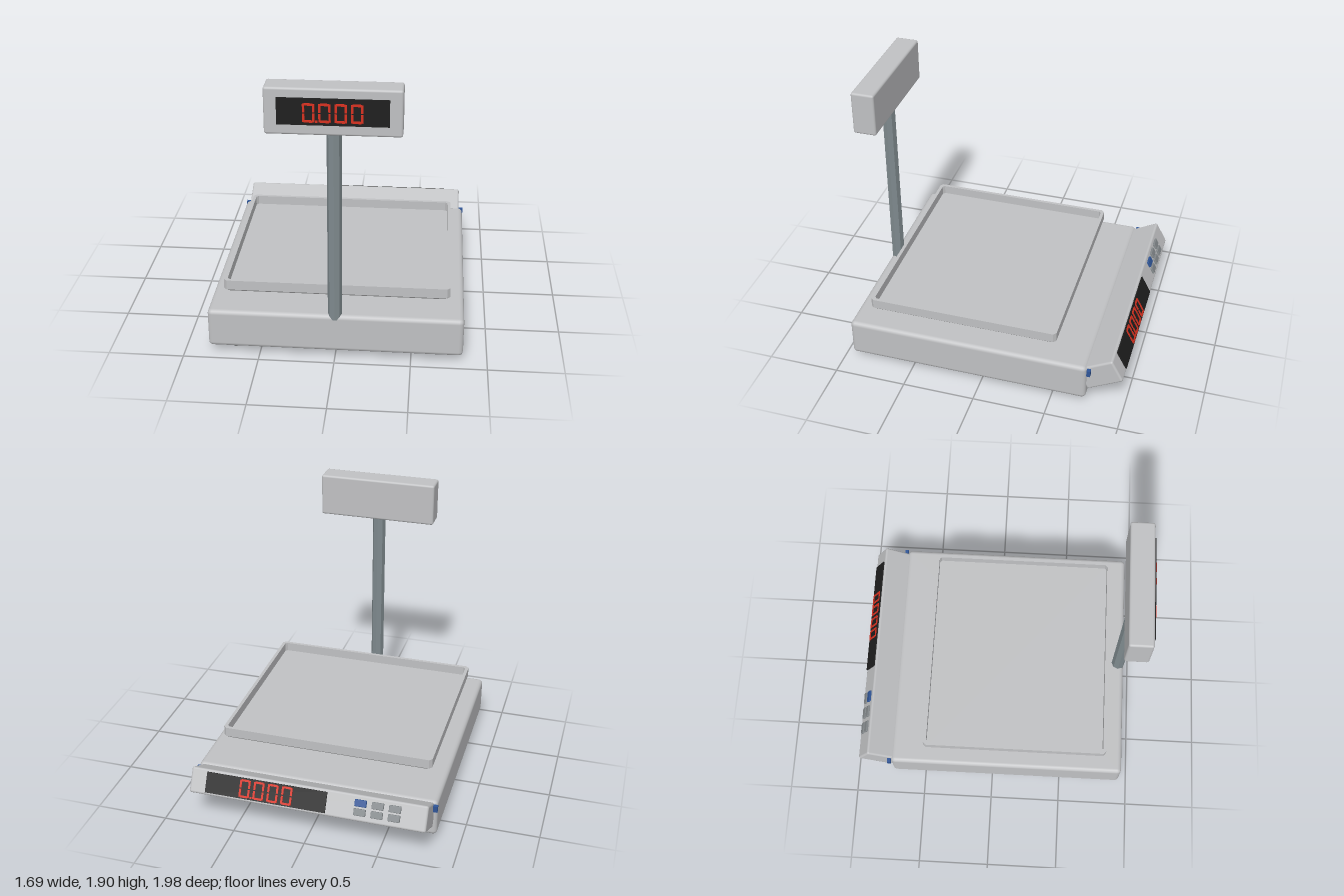
import * as THREE from 'three';
import { RoundedBoxGeometry } from 'three/addons/geometries/RoundedBoxGeometry.js';

const mat = (name, color) => new THREE.MeshStandardMaterial({ name, color });

export function createModel() {
  const housing = mat('light grey housing', 0xc0c1c3);
  const metal = mat('column metal', 0x7f8a8e);
  const black = mat('black', 0x1e1e1e);
  const red = mat('red digits', 0xd8301f);
  const keyGrey = mat('grey keys', 0x84898c);
  const blue = mat('blue', 0x2f5597);

  const model = new THREE.Group();
  model.name = 'countertopScale';

  const add = (parent, name, geometry, material, x, y, z) => {
    const mesh = new THREE.Mesh(geometry, material);
    mesh.name = name;
    mesh.position.set(x, y, z);
    parent.add(mesh);
    return mesh;
  };
  const box = (w, h, d) => new THREE.BoxGeometry(w, h, d);
  const rounded = (w, h, d, r) => new RoundedBoxGeometry(w, h, d, 2, r);
  const prism = (r, h, sides) => {
    const g = new THREE.CylinderGeometry(r, r, h, sides).toNonIndexed();
    g.computeVertexNormals();
    return g;
  };

  // Base housing and feet
  add(model, 'base', rounded(1.68, 0.27, 1.68, 0.03), housing, 0, 0.185, 0.1);
  for (const x of [-0.675, 0.675])
    for (const z of [-0.575, 0.78])
      add(model, 'foot', prism(0.066, 0.06, 12), black, x, 0.03, z);

  // Tray on its round support
  add(model, 'traySupport', prism(0.17, 0.1, 12), metal, 0, 0.36, 0.155);
  const outline = (Type, a, b, c) => new Type([
    [-a + c, -b], [a - c, -b], [a, -b + c], [a, b - c],
    [a - c, b], [-a + c, b], [-a, b - c], [-a, -b + c],
  ].map(([x, y]) => new THREE.Vector2(x, y)));
  const slab = (shape, depth) => {
    const g = new THREE.ExtrudeGeometry(shape, { depth, bevelEnabled: false });
    g.rotateX(-Math.PI / 2);
    return g;
  };
  const rim = outline(THREE.Shape, 0.745, 0.66, 0.02);
  rim.holes.push(outline(THREE.Path, 0.722, 0.637, 0.015));
  add(model, 'trayRim', slab(rim, 0.067), housing, 0, 0.413, 0.155);
  // Floor edge slopes inward underneath
  const floor = slab(outline(THREE.Shape, 0.744, 0.659, 0.02), 0.015);
  const p = floor.attributes.position;
  for (let i = 0; i < p.count; i++)
    if (p.getY(i) < 0.005) p.setXYZ(i, p.getX(i) * 0.984, p.getY(i), p.getZ(i) * 0.982);
  floor.computeVertexNormals();
  add(model, 'trayFloor', floor, housing, 0, 0.4, 0.155);

  // Seven-segment readout "zero point zero zero zero", facing local +z
  const addReadout = (parent, cx, z) => {
    const group = new THREE.Group();
    group.name = 'readout';
    group.position.set(cx, 0, z);
    parent.add(group);
    const w = 0.074, h = 0.122, t = 0.014, d = 0.006;
    for (let i = 0; i < 4; i++) {
      const x = (i - 1.5) * 0.0975;
      for (const s of [-1, 1]) {
        add(group, 'horizontalSegment', box(w - 2 * t + 0.008, t, d), red, x, s * (h - t) / 2, 0);
        for (const v of [-1, 1])
          add(group, 'verticalSegment', box(t, h / 2 - 0.008, d), red, x + s * (w - t) / 2, v * h / 4, 0);
      }
    }
    add(group, 'decimalPoint', box(0.013, 0.013, d), red, -0.0975, -0.054, 0);
  };

  // Column with the customer display
  add(model, 'column', prism(0.047, 1.34, 8), metal, 0, 0.96, 0.9);
  const display = new THREE.Group();
  display.name = 'customerDisplay';
  display.position.set(0, 1.75, 0.98);
  model.add(display);
  add(display, 'displayHousing', rounded(0.84, 0.3, 0.16, 0.015), housing, 0, 0, -0.08);
  add(display, 'displayWindow', box(0.68, 0.17, 0.012), black, 0, 0.005, 0.006);
  addReadout(display, 0, 0.015);

  // Tilted operator panel at the back, origin at the centre of its face
  const panel = new THREE.Group();
  panel.name = 'operatorPanel';
  panel.position.set(0, 0.325, -0.945);
  panel.rotation.set(-0.49, Math.PI, 0, 'YXZ');
  model.add(panel);
  add(panel, 'panelHousing', rounded(1.63, 0.175, 0.27, 0.015), housing, 0, 0, -0.135);
  add(panel, 'panelWindow', box(0.84, 0.14, 0.009), black, -0.28, 0, 0.0045);
  addReadout(panel, -0.277, 0.011);
  for (let col = 0; col < 3; col++)
    for (let row = 0; row < 2; row++)
      add(panel, 'key', rounded(0.08, 0.046, 0.02, 0.005), col + row === 0 ? blue : keyGrey,
        0.37 + col * 0.115, 0.034 - row * 0.06, 0.004);

  // Pivot knobs at both ends of the panel
  for (const s of [-1, 1])
    add(model, 'pivotKnob', box(0.04, 0.045, 0.025), blue, s * 0.825, 0.283, -0.755);

  return model;
}
